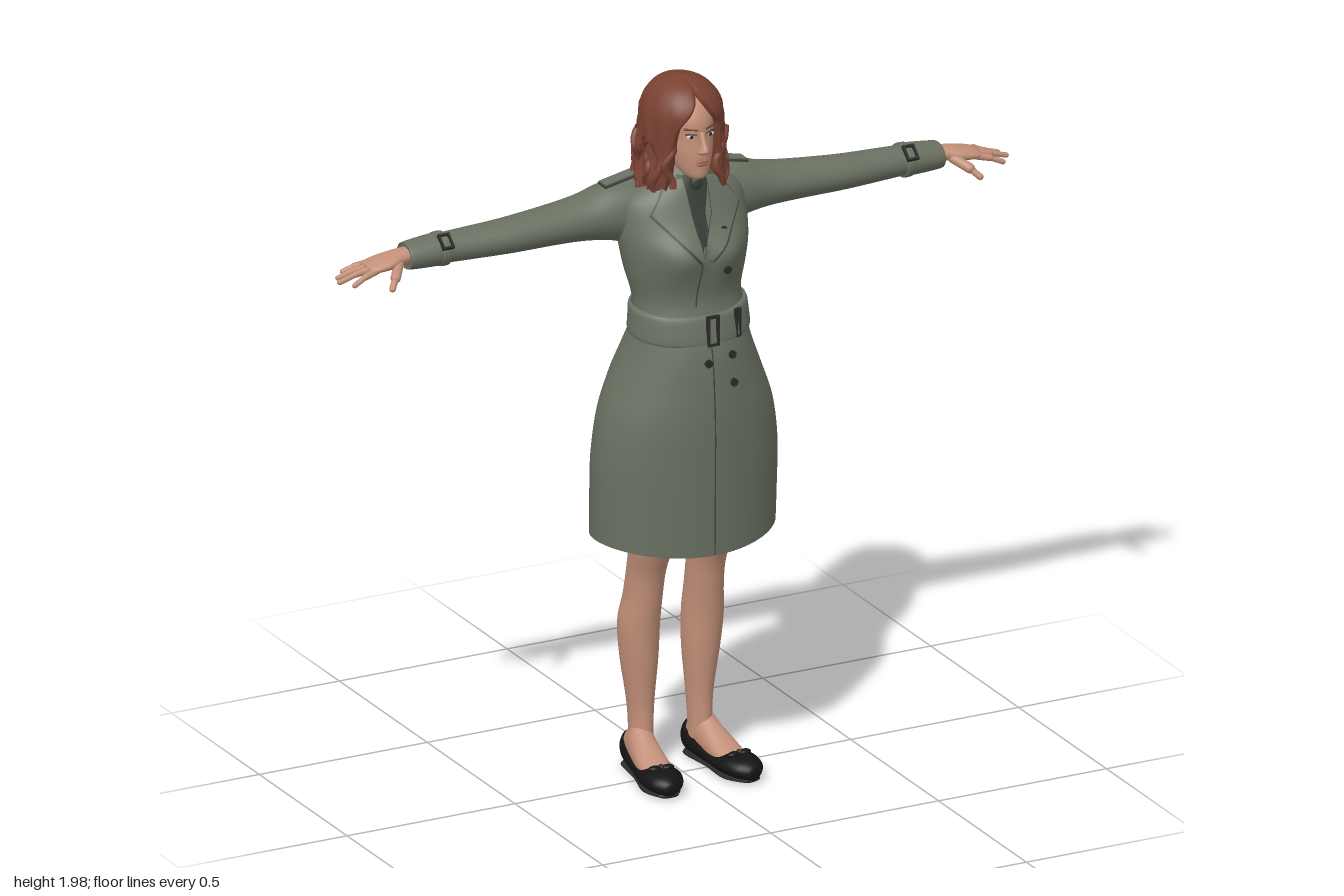
import * as THREE from 'three';

const mat = (name, color, side = THREE.FrontSide) => {
  const m = new THREE.MeshStandardMaterial({ color, side });
  m.name = name;
  return m;
};

// Smooth extra rows between the given cross-sections
function smooth(rows, k = 5) {
  const out = [];
  for (let i = 0; i < rows.length - 1; i++) {
    const [p, a, b, q] = [rows[Math.max(i - 1, 0)], rows[i], rows[i + 1], rows[Math.min(i + 2, rows.length - 1)]];
    for (let s = 0; s < k; s++) {
      const t = s / k;
      out.push(a.map((v, c) => 0.5 * (2 * v + (b[c] - p[c]) * t + (2 * p[c] - 5 * v + 4 * b[c] - q[c]) * t * t
        + (3 * v - p[c] - 3 * b[c] + q[c]) * t * t * t)));
    }
  }
  out.push(rows[rows.length - 1]);
  return out;
}

// Grid of points to an indexed surface
function grid(pts, cols, wrap, caps) {
  const rows = pts.length / cols, idx = [];
  for (let i = 0; i < rows - 1; i++) for (let j = 0; j < (wrap ? cols : cols - 1); j++) {
    const a = i * cols + j, b = i * cols + (j + 1) % cols;
    idx.push(a, b, b + cols, a, b + cols, a + cols);
  }
  if (caps) for (const r of [0, rows - 1]) {
    const c = pts.slice(r * cols, (r + 1) * cols).reduce((s, p) => s.add(p), new THREE.Vector3()).divideScalar(cols);
    pts.push(c);
    for (let j = 0; j < cols; j++) {
      const a = r * cols + j, b = r * cols + (j + 1) % cols;
      idx.push(...(r ? [a, b, pts.length - 1] : [b, a, pts.length - 1]));
    }
  }
  const g = new THREE.BufferGeometry().setFromPoints(pts);
  g.setIndex(idx);
  g.computeVertexNormals();
  return g;
}

// Elliptical loft; row = [t, centreA, centreB, radiusA, radiusB, opening]
// axis y: A = x, B = z; axis x: A = z, B = y; axis z: A = y, B = x
function loft(rows, { axis = 'y', seg = 32, caps = true, open = false, move } = {}) {
  const pts = [];
  const cols = open ? seg + 1 : seg;
  for (const [t, a, b, ra, rb, o = 0] of smooth(rows)) for (let j = 0; j < cols; j++) {
    const th = o + (2 * Math.PI - 2 * o) * j / seg;
    const f = open === 'fold' && (j === 0 || j === seg) ? 0.72 : 1;
    const p = a + ra * f * Math.sin(th), q = b + rb * f * Math.cos(th);
    const v = axis === 'y' ? new THREE.Vector3(p, t, q) : axis === 'x' ? new THREE.Vector3(t, q, p) : new THREE.Vector3(q, p, t);
    if (move) move(v, th, b);
    pts.push(v);
  }
  return grid(pts, cols, !open, caps && !open);
}

// Coat cross-sections: height, half width, front z, back z
const coatRows = [[0.69, 0.26, 0.185, -0.19], [0.8, 0.262, 0.187, -0.185], [0.93, 0.262, 0.188, -0.176],
  [1.05, 0.245, 0.188, -0.17], [1.15, 0.21, 0.182, -0.16], [1.24, 0.175, 0.172, -0.13], [1.32, 0.155, 0.15, -0.09],
  [1.38, 0.152, 0.135, -0.1], [1.45, 0.168, 0.14, -0.125], [1.52, 0.18, 0.14, -0.14], [1.58, 0.185, 0.115, -0.145],
  [1.64, 0.175, 0.09, -0.135], [1.68, 0.13, 0.074, -0.12], [1.705, 0.085, 0.062, -0.09], [1.725, 0.055, 0.045, -0.065]]
  .map(([y, rx, f, b]) => [y, 0, (f + b) / 2, rx, (f - b) / 2]);
const coatFine = smooth(coatRows);
const bust = (x, y) => 0.026 * Math.exp(-(((Math.abs(x) - 0.07) / 0.06) ** 2) - ((y - 1.51) / 0.06) ** 2);

// Front surface of the coat at x, y
function frontZ(x, y) {
  let i = 0;
  while (i < coatFine.length - 2 && coatFine[i + 1][0] < y) i++;
  const a = coatFine[i], b = coatFine[i + 1], t = THREE.MathUtils.clamp((y - a[0]) / (b[0] - a[0]), 0, 1);
  const r = a.map((v, c) => v + (b[c] - v) * t);
  return r[2] + r[4] * Math.sqrt(Math.max(0, 1 - (x / r[3]) ** 2)) + bust(x, y);
}

// Cloth strip lying on the coat front, between two edges (left to right, listed top down)
function strip(left, right, lift) {
  const pts = [], n = 16, m = 6;
  const at = (e, t) => {
    const s = t * (e.length - 1), i = Math.min(Math.floor(s), e.length - 2), f = s - i;
    return e[i].map((v, c) => v + (e[i + 1][c] - v) * f);
  };
  for (let i = n; i >= 0; i--) for (let j = 0; j <= m; j++) {
    const l = at(left, i / n), r = at(right, i / n);
    const x = l[0] + (r[0] - l[0]) * j / m, y = l[1] + (r[1] - l[1]) * j / m;
    pts.push(new THREE.Vector3(x, y, frontZ(x, y) + lift));
  }
  return grid(pts, m + 1, false);
}

function frame(w, h, t) {
  const rect = (C, a, b) => new C([[-a, -b], [a, -b], [a, b], [-a, b]].map(p => new THREE.Vector2(...p)));
  const s = rect(THREE.Shape, w / 2, h / 2);
  s.holes.push(rect(THREE.Path, w / 2 - t, h / 2 - t));
  return new THREE.ExtrudeGeometry(s, { depth: 0.01, bevelEnabled: false });
}

function rod(a, b, r) {
  const A = new THREE.Vector3(...a), B = new THREE.Vector3(...b), d = B.clone().sub(A);
  const q = new THREE.Quaternion().setFromUnitVectors(new THREE.Vector3(0, 1, 0), d.clone().normalize());
  return new THREE.CapsuleGeometry(r, d.length(), 4, 10).applyQuaternion(q).translate(...A.add(B).divideScalar(2).toArray());
}
const ball = (x, y, z, rx, ry, rz) => new THREE.SphereGeometry(1, 16, 12).scale(rx, ry, rz).translate(x, y, z);

export function createModel() {
  const coat = mat('coat cloth', 0x697061, THREE.DoubleSide), seam = mat('seam', 0x3f443a, THREE.DoubleSide);
  const hair = mat('hair', 0x7a4232, THREE.DoubleSide), skin = mat('skin', 0xc39079), shoe = mat('shoe leather', 0x141414);
  const shirt = mat('shirt and tie', 0x363c35, THREE.DoubleSide), metal = mat('dark hardware', 0x2a2b28);
  const lip = mat('lips', 0xa8655a), white = mat('eye white', 0xd8d0c8);
  const root = new THREE.Group();
  root.name = 'womanInCoat';
  const add = (name, geo, m) => {
    const mesh = new THREE.Mesh(geo, m);
    mesh.name = name;
    root.add(mesh);
  };
  // The same part on both sides of x = 0
  const pair = (name, geo, m) => {
    add(name + 'Left', geo, m);
    const g = geo.clone().scale(-1, 1, 1);
    const idx = g.index ? Array.from(g.index.array) : Array.from({ length: g.attributes.position.count }, (_, i) => i);
    for (let i = 0; i < idx.length; i += 3) [idx[i], idx[i + 1]] = [idx[i + 1], idx[i]];
    g.setIndex(idx);
    add(name + 'Right', g, m);
  };

  // Coat body, open at the hem
  add('coatBody', loft(coatRows, { seg: 56, caps: false, move: (v, th, cz) => {
    if (v.z > cz) v.z += bust(v.x, v.y) * Math.min(1, (v.z - cz) / 0.05);
    v.y -= 0.013 * Math.cos(2 * th) * Math.max(0, 1 - (v.y - 0.69) / 0.1);
  } }), coat);
  add('coatFrontSeam', strip([[-0.004, 1.27], [-0.004, 0.68]], [[0, 1.27], [0, 0.68]], 0.002), seam);
  add('coatOverlapEdge', strip([[-0.022, 1.51], [-0.034, 1.37]], [[-0.018, 1.51], [-0.03, 1.37]], 0.003), seam);

  // Shirt, tie, lapels and collar
  add('shirtFront', strip([[-0.045, 1.715], [-0.022, 1.52]], [[0.045, 1.715], [-0.018, 1.52]], 0.003), shirt);
  add('tie', strip([[-0.014, 1.7], [-0.022, 1.54]], [[0.014, 1.7], [0.01, 1.54]], 0.007), shirt);
  add('tieKnot', ball(0, 1.695, 0.075, 0.018, 0.02, 0.012), shirt);
  const lapel = (s, e, lift) => {
    const inner = [[s * 0.035, 1.71], [s * 0.03, 1.62], [-0.02, 1.51]];
    const outer = [[s * (0.075 + e), 1.7], [s * (0.13 + e), 1.625 - e], [s > 0 ? 0.005 + e : -0.024 - e, 1.5 - e]];
    return s > 0 ? strip(inner, outer, lift) : strip(outer, inner, lift);
  };
  for (const [s, side] of [[1, 'Left'], [-1, 'Right']]) {
    add('lapelEdge' + side, lapel(s, 0.005, 0.007), seam);
    add('lapel' + side, lapel(s, 0, 0.011), coat);
  }
  add('collar', loft([[1.675, 0, -0.02, 0.12, 0.1, 0.75], [1.71, 0, -0.015, 0.09, 0.085, 0.65], [1.735, 0, -0.01, 0.066, 0.07, 0.6]],
    { open: true }), coat);

  // Belt, tilted up towards the back
  const belt = [[1.275, 0, 0.034, 0.163, 0.126], [1.282, 0, 0.032, 0.17, 0.133], [1.315, 0, 0.03, 0.168, 0.13],
    [1.348, 0, 0.026, 0.165, 0.125], [1.355, 0, 0.024, 0.156, 0.115]];
  add('belt', loft(belt, { seg: 48, caps: false, move: v => { v.y -= (v.z - 0.03) * 0.09; } }), coat);
  add('beltBuckle', frame(0.036, 0.085, 0.007).translate(0.005, 1.305, 0.158), metal);
  add('beltLoop', frame(0.018, 0.08, 0.005).rotateY(0.4).translate(0.088, 1.307, 0.136), metal);
  for (const [x, y] of [[0.055, 1.57], [0.055, 1.465], [-0.015, 1.22], [0.06, 1.23], [0.06, 1.155]])
    add('button', new THREE.CylinderGeometry(0.011, 0.011, 0.008, 14).rotateX(Math.PI / 2).translate(x, y, frontZ(x, y) + 0.003), metal);

  // Sleeves, cuffs and shoulder straps
  pair('sleeve', loft([[0.08, -0.05, 1.6, 0.06, 0.085], [0.14, -0.055, 1.6, 0.075, 0.088], [0.2, -0.062, 1.604, 0.076, 0.078],
    [0.27, -0.065, 1.598, 0.07, 0.062], [0.36, -0.063, 1.594, 0.066, 0.053], [0.5, -0.058, 1.59, 0.06, 0.046],
    [0.62, -0.062, 1.588, 0.052, 0.042], [0.7, -0.064, 1.587, 0.047, 0.039], [0.785, -0.065, 1.584, 0.042, 0.034]], { axis: 'x' }), coat);
  pair('cuff', loft([[0.705, -0.064, 1.587, 0.046, 0.038], [0.708, -0.064, 1.587, 0.051, 0.043],
    [0.788, -0.065, 1.584, 0.046, 0.037], [0.792, -0.065, 1.584, 0.04, 0.031]], { axis: 'x' }), coat);
  pair('cuffStrap', loft([[0.678, -0.064, 1.587, 0.048, 0.04], [0.682, -0.064, 1.587, 0.054, 0.046],
    [0.702, -0.064, 1.587, 0.053, 0.045], [0.706, -0.064, 1.587, 0.047, 0.039]], { axis: 'x' }), coat);
  pair('cuffBuckle', frame(0.034, 0.046, 0.006).rotateX(-0.85).translate(0.692, 1.616, -0.029), metal);
  pair('shoulderStrapEdge', new THREE.BoxGeometry(0.098, 0.006, 0.044).rotateZ(-0.2).translate(0.165, 1.691, -0.055), seam);
  pair('shoulderStrap', new THREE.BoxGeometry(0.092, 0.011, 0.038).rotateZ(-0.2).translate(0.165, 1.692, -0.055), coat);

  // Hands with spread fingers
  pair('palm', loft([[0.76, -0.065, 1.586, 0.028, 0.023], [0.81, -0.064, 1.586, 0.031, 0.021], [0.85, -0.062, 1.58, 0.042, 0.02],
    [0.89, -0.064, 1.574, 0.043, 0.015], [0.912, -0.066, 1.57, 0.036, 0.009]], { axis: 'x', seg: 20 }), skin);
  for (const [z0, x1, z1, y1] of [[-0.098, 0.952, -0.117, 1.55], [-0.077, 0.982, -0.086, 1.548], [-0.055, 0.992, -0.056, 1.548], [-0.034, 0.965, -0.022, 1.546]]) {
    const mid = [(0.895 + x1) / 2, (1.571 + y1) / 2 + 0.003, (z0 + z1) / 2];
    pair('fingerBase', rod([0.89, 1.571, z0], mid, 0.0092), skin);
    pair('fingerTip', rod(mid, [x1, y1, z1], 0.0075), skin);
  }
  pair('thumbBase', rod([0.825, 1.576, -0.04], [0.855, 1.555, 0], 0.014), skin);
  pair('thumbTip', rod([0.855, 1.555, 0], [0.875, 1.534, 0.02], 0.009), skin);

  // Legs and feet
  pair('leg', loft([[0.05, 0.09, -0.07, 0.032, 0.042], [0.12, 0.088, -0.072, 0.031, 0.042], [0.2, 0.088, -0.075, 0.036, 0.045],
    [0.32, 0.092, -0.075, 0.05, 0.058], [0.42, 0.095, -0.07, 0.055, 0.063], [0.5, 0.091, -0.055, 0.051, 0.06],
    [0.58, 0.089, -0.038, 0.051, 0.06], [0.68, 0.089, -0.005, 0.06, 0.068], [0.82, 0.092, 0.01, 0.075, 0.075]]), skin);
  const turn = g => g.rotateY(0.12).translate(0.104, 0, 0);
  pair('foot', turn(loft([[-0.11, 0.06, 0, 0.05, 0.03], [-0.06, 0.07, 0, 0.066, 0.037], [-0.02, 0.063, 0, 0.053, 0.04],
    [0.03, 0.052, 0, 0.035, 0.044], [0.09, 0.04, 0, 0.021, 0.042]], { axis: 'z', seg: 20 })), skin);
  pair('shoe', turn(loft([[-0.135, 0.06, 0, 0.022, 0.016], [-0.125, 0.052, 0, 0.044, 0.033], [-0.07, 0.045, 0, 0.04, 0.043],
    [0, 0.035, 0, 0.03, 0.046], [0.05, 0.033, 0, 0.028, 0.053], [0.1, 0.036, 0, 0.031, 0.057], [0.145, 0.034, 0, 0.027, 0.045],
    [0.17, 0.03, 0, 0.018, 0.022], [0.176, 0.028, 0, 0.006, 0.008]], { axis: 'z', seg: 28, move: v => { v.y = Math.max(v.y, 0.006); } })), shoe);
  pair('shoeSole', turn(loft([[-0.13, 0.006, 0, 0.005, 0.02], [-0.1, 0.006, 0, 0.006, 0.038], [0, 0.006, 0, 0.006, 0.04],
    [0.1, 0.006, 0, 0.006, 0.052], [0.16, 0.008, 0, 0.006, 0.026]], { axis: 'z', seg: 16 })), metal);
  for (const s of [-1, 1]) pair('shoeBow', turn(ball(s * 0.018, 0.066, 0.1, 0.018, 0.008, 0.012)), shoe);
  pair('shoeBowKnot', turn(ball(0, 0.069, 0.1, 0.007, 0.008, 0.009)), metal);

  // Head, neck and face
  add('neck', loft([[1.64, 0, -0.01, 0.055, 0.05], [1.7, 0, 0, 0.044, 0.045], [1.78, 0, 0.015, 0.045, 0.05]]), skin);
  add('head', loft([[1.713, 0, 0.078, 0.014, 0.018], [1.722, 0, 0.068, 0.03, 0.04], [1.745, 0, 0.048, 0.046, 0.063],
    [1.785, 0, 0.027, 0.06, 0.086], [1.83, 0, 0.012, 0.068, 0.097], [1.88, 0, 0.007, 0.071, 0.101], [1.925, 0, -0.002, 0.062, 0.085],
    [1.95, 0, -0.005, 0.035, 0.05]]), skin);
  add('nose', loft([[1.79, 0, 0.112, 0.011, 0.01], [1.797, 0, 0.118, 0.016, 0.018], [1.806, 0, 0.119, 0.012, 0.021],
    [1.825, 0, 0.112, 0.008, 0.016], [1.85, 0, 0.106, 0.008, 0.007]], { seg: 16 }), skin);
  add('upperLip', ball(0, 1.769, 0.112, 0.02, 0.005, 0.007), lip);
  add('lowerLip', ball(0, 1.761, 0.111, 0.017, 0.006, 0.007), lip);
  pair('eye', ball(0.028, 1.839, 0.1, 0.013, 0.0055, 0.005), white);
  pair('iris', ball(0.028, 1.839, 0.104, 0.005, 0.005, 0.002), metal);
  pair('eyelid', rod([0.015, 1.845, 0.106], [0.041, 1.845, 0.094], 0.002), metal);
  pair('eyebrow', rod([0.014, 1.858, 0.107], [0.043, 1.86, 0.092], 0.003), hair);

  // Wavy hair, parted around the face
  add('hair', loft([[1.65, 0, -0.02, 0.118, 0.09, 0.72], [1.69, 0, -0.02, 0.128, 0.105, 0.62], [1.74, 0, -0.02, 0.122, 0.112, 0.6],
    [1.8, 0, -0.015, 0.114, 0.117, 0.56], [1.86, 0, -0.01, 0.111, 0.122, 0.48], [1.9, 0, -0.008, 0.105, 0.12, 0.22],
    [1.935, 0, -0.008, 0.088, 0.1, 0.02], [1.962, 0, -0.01, 0.056, 0.066, 0], [1.978, 0, -0.01, 0.002, 0.002, 0]],
  { seg: 72, open: 'fold', move: (v, th) => {
    const low = THREE.MathUtils.clamp((1.96 - v.y) / 0.25, 0, 1);
    const f = 1 + low * (0.045 * Math.sin(th * 13 + v.y * 35) + 0.025 * Math.sin(th * 29 - v.y * 50));
    v.x *= f;
    v.z = -0.01 + (v.z + 0.01) * f;
    v.y += 0.02 * Math.sin(th * 11) * Math.max(0, 1 - (v.y - 1.65) / 0.08);
  } }), hair);
  for (let i = 0; i < 17; i++) {
    const th = 0.68 + (2 * Math.PI - 1.36) * i / 16, pts = [];
    for (let k = 0; k <= 6; k++) {
      const a = th + 0.1 * Math.sin(k * 1.3 + i * 2), r = 1 + 0.05 * Math.sin(k * 1.5 + i);
      pts.push(new THREE.Vector3(0.119 * r * Math.sin(a), 1.82 - k * (0.025 + 0.004 * Math.sin(i * 3)), -0.018 + 0.108 * r * Math.cos(a)));
    }
    add('hairCurl', new THREE.TubeGeometry(new THREE.CatmullRomCurve3(pts), 18, 0.01, 7), hair);
  }
  return root;
}
